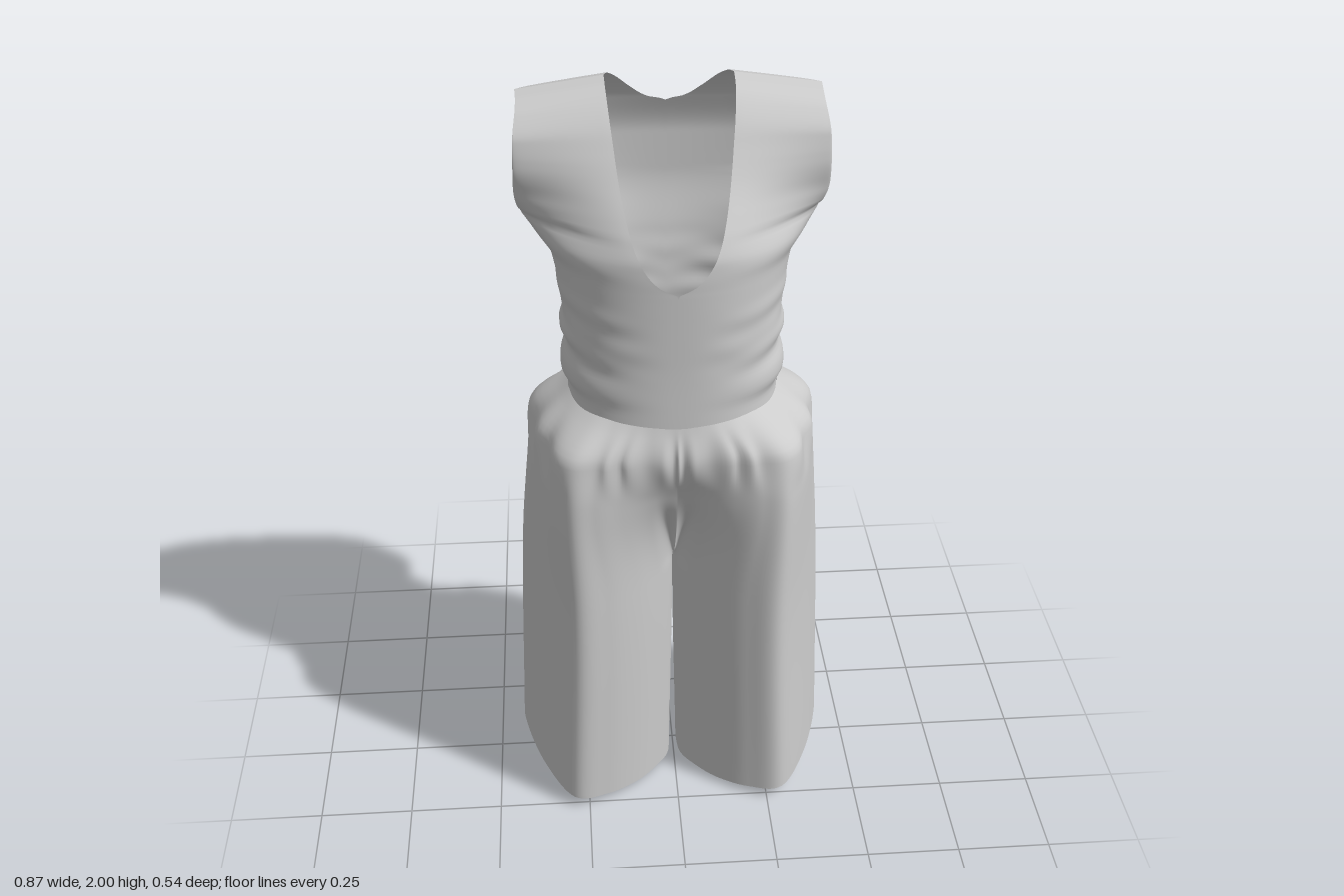
import * as THREE from 'three';
import { mergeVertices } from 'three/addons/utils/BufferGeometryUtils.js';

const { clamp, lerp, smoothstep } = THREE.MathUtils;
const bump = (y, lo, hi) => Math.sin(Math.PI * clamp((y - lo) / (hi - lo), 0, 1)) ** 2;

// smooth, overshoot-free lookup in a list of [y, value] pairs
function at(t, y) {
  const n = t.length - 1;
  if (y <= t[0][0]) return t[0][1];
  if (y >= t[n][0]) return t[n][1];
  let i = 0;
  while (y > t[i + 1][0]) i++;
  const slope = k => (t[k + 1][1] - t[k][1]) / (t[k + 1][0] - t[k][0]);
  const tangent = k => {
    if (k === 0) return slope(0);
    if (k === n) return slope(n - 1);
    const a = slope(k - 1), b = slope(k);
    return a * b <= 0 ? 0 : 2 * a * b / (a + b);
  };
  const h = t[i + 1][0] - t[i][0], s = (y - t[i][0]) / h, s2 = s * s, s3 = s2 * s;
  return (2 * s3 - 3 * s2 + 1) * t[i][1] + (s3 - 2 * s2 + s) * h * tangent(i)
    + (3 * s2 - 2 * s3) * t[i + 1][1] + (s3 - s2) * h * tangent(i + 1);
}

// cloth from grid panels on the left side, each mirrored to the right
function cloth(name, panels) {
  const pos = [], index = [];
  for (const { rows, cols, point, flip } of panels) {
    for (const side of [1, -1]) {
      const base = pos.length / 3;
      for (let i = 0; i <= rows; i++)
        for (let j = 0; j <= cols; j++) {
          const [x, y, z] = point(i / rows, j / cols);
          pos.push(x * side, y, z);
        }
      for (let i = 0; i < rows; i++)
        for (let j = 0; j < cols; j++) {
          const a = base + i * (cols + 1) + j, b = a + 1, d = a + cols + 1, c = d + 1;
          if ((side < 0) !== !!flip) index.push(a, c, b, a, d, c);
          else index.push(a, b, c, a, c, d);
        }
    }
  }
  let geo = new THREE.BufferGeometry();
  geo.setAttribute('position', new THREE.Float32BufferAttribute(pos, 3));
  geo.setIndex(index);
  geo = mergeVertices(geo, 1e-4);
  geo.computeVertexNormals();
  const mesh = new THREE.Mesh(geo, new THREE.MeshStandardMaterial({ color: 0xcccccc, side: THREE.DoubleSide }));
  mesh.name = name;
  return mesh;
}

// half sections (x, z) from centre front round the outside to centre back
const CROTCH = 0.7, HIP = 1.0, GATHER = 1.13, WAIST = 1.22;
const legSection = [[0, 0], [0.008, 0.07], [0.045, 0.13], [0.1, 0.192], [0.18, 0.245], [0.27, 0.263], [0.345, 0.14],
  [0.395, -0.02], [0.4, -0.13], [0.34, -0.21], [0.23, -0.248], [0.11, -0.2], [0.04, -0.11], [0.008, -0.06], [0, 0]];
const hipSection = [[0, 0.195], [0.035, 0.2], [0.07, 0.212], [0.14, 0.24], [0.21, 0.26], [0.28, 0.255], [0.34, 0.14],
  [0.375, -0.02], [0.365, -0.13], [0.3, -0.215], [0.2, -0.258], [0.12, -0.266], [0.07, -0.26], [0.035, -0.25], [0, -0.24]];
const gatherSection = [[0, 0.24], [0.035, 0.242], [0.07, 0.244], [0.14, 0.248], [0.2, 0.252], [0.27, 0.243], [0.33, 0.13],
  [0.36, -0.02], [0.345, -0.12], [0.28, -0.2], [0.18, -0.235], [0.12, -0.24], [0.08, -0.238], [0.04, -0.233], [0, -0.23]];
const waistSection = [[0, 0.22], [0.03, 0.219], [0.06, 0.217], [0.1, 0.21], [0.15, 0.192], [0.2, 0.155], [0.25, 0.075],
  [0.265, 0], [0.25, -0.06], [0.2, -0.12], [0.15, -0.146], [0.11, -0.158], [0.07, -0.165], [0.035, -0.169], [0, -0.17]];
// legs flare towards the hem
const hemSection = legSection.map(([x, z]) => [x * 1.045 + 0.01, z < 0 ? z * 0.9 : z]);

// one height table per section point and axis; the centre line follows the U of the crotch
const table = (i, axis) => {
  const keys = [[0, hemSection], [CROTCH, legSection], [HIP, hipSection], [GATHER, gatherSection], [WAIST, waistSection]]
    .map(([y, s]) => [y, s[i][axis]]);
  if (axis === 1 && (i === 0 || i === legSection.length - 1))
    keys.splice(2, 0, [0.74, 0.36 * keys[2][1]], [0.85, 0.72 * keys[2][1]]);
  return keys;
};
const trouserTables = legSection.map((_, i) => [table(i, 0), table(i, 1)]);

function trouserPoint(v, u) {
  const y = v * WAIST;
  const curve = new THREE.SplineCurve(trouserTables.map(([tx, tz]) => new THREE.Vector2(at(tx, y), at(tz, y))));
  const p = curve.getPoint(u), x = Math.max(0, p.x);
  // hem and waist both rise towards the outside
  const hemRise = clamp(1 - y / CROTCH, 0, 1) * 0.055 * x / 0.43;
  const waistRise = 0.02 * clamp((y - 1.05) / 0.17, 0, 1) * x / 0.265;
  // gathers under the waist
  const pleat = 1 + 0.02 * bump(y, 1.03, 1.22) * Math.cos(u * Math.PI * 22 + 1.5 * Math.sin(u * 9 * Math.PI));
  return [x * pleat, y + hemRise + waistRise, p.y * pleat];
}

// bodice measurements by height
const BASE = 1.215;
const sideX = [[BASE, 0.265], [1.26, 0.262], [1.3, 0.28], [1.36, 0.27], [1.42, 0.272], [1.5, 0.277], [1.6, 0.295],
  [1.66, 0.34], [1.7, 0.37], [1.78, 0.382], [1.9, 0.378], [2, 0.36]];
const frontZ = [[BASE, 0.22], [1.4, 0.215], [1.6, 0.215], [1.65, 0.211], [1.69, 0.194], [1.74, 0.16],
  [1.81, 0.107], [1.87, 0.068], [1.93, 0.028], [1.975, -0.02], [1.992, -0.055], [2, -0.1]];
const backZ = [[BASE, -0.17], [1.275, -0.172], [1.3, -0.198], [1.42, -0.203], [1.55, -0.222], [1.7, -0.248],
  [1.8, -0.248], [1.9, -0.22], [1.96, -0.18], [1.99, -0.14], [2, -0.1]];
const seamZ = [[BASE, 0], [1.5, -0.03], [1.695, -0.085]];
const armFrontZ = [...seamZ, [1.71, -0.035], [1.75, 0.008], [1.83, 0.033], [1.9, 0.026], [1.96, -0.01], [1.99, -0.055], [2, -0.1]];
const armBackZ = [...seamZ, [1.71, -0.12], [1.75, -0.155], [1.83, -0.178], [1.9, -0.174], [1.96, -0.15], [1.99, -0.125], [2, -0.1]];
const neckFront = [[1.58, 0], [1.6, 0.042], [1.64, 0.077], [1.7, 0.104], [1.8, 0.127], [1.9, 0.14], [2, 0.152]];
const neckBack = [[1.89, 0], [1.9, 0.045], [1.93, 0.085], [1.97, 0.122], [2, 0.152]];

const bodicePanel = (centreZ, armZ, neck, flip) => ({
  rows: 110, cols: 40, flip,
  point(v, u) {
    const y = BASE + (2 - BASE) * Math.sin(v * Math.PI / 2);
    const za = at(armZ, y), zc = at(centreZ, y);
    // the armhole edge turns inwards, mostly at the back
    const a = at(sideX, y) - (y > 1.695 ? Math.max(0, (-0.1 - za) * 0.85, (za + 0.1) * 0.08) : 0);
    const e = lerp(0.86, 0.95, clamp((y - 1.5) / 0.3, 0, 1));
    const start = Math.asin((at(neck, y) / a) ** (1 / e));
    const phi = lerp(start, Math.PI / 2, u);
    const x = a * Math.sin(phi) ** e, s = x / a;
    // the chest front is fuller in the middle and hollow beside the arms
    const round = Math.max(0, Math.cos(phi)) ** e;
    const hollow = 1 - smoothstep(s, 0.2, 1);
    const z = za + (zc - za) * (flip ? round : lerp(round, hollow, smoothstep(y, 1.62, 1.78) * 0.7));
    // slanting folds above the waist, strongest at the sides
    const reach = flip ? 0.4 + 0.6 * s : s * s;
    const fold = 1 + 0.022 * bump(y, 1.27, 1.58) * reach
      * (Math.sin(y * 62 + 3 * s * s + 1.2 * Math.sin(s * s * 5)) + 0.5 * Math.sin(y * 95 - 6 * s));
    // shoulders drop towards the arms
    const drop = 0.03 * clamp((y - 1.85) / 0.15, 0, 1) * clamp((x - 0.15) / 0.21, 0, 1);
    return [x * fold, y - drop, z * fold];
  },
});

export function createModel() {
  const group = new THREE.Group();
  group.name = 'jumpsuit';
  group.add(
    cloth('trousers', [{ rows: 100, cols: 112, point: trouserPoint }]),
    cloth('bodice', [
      bodicePanel(frontZ, armFrontZ, neckFront, false),
      bodicePanel(backZ, armBackZ, neckBack, true),
    ]),
  );
  return group;
}
